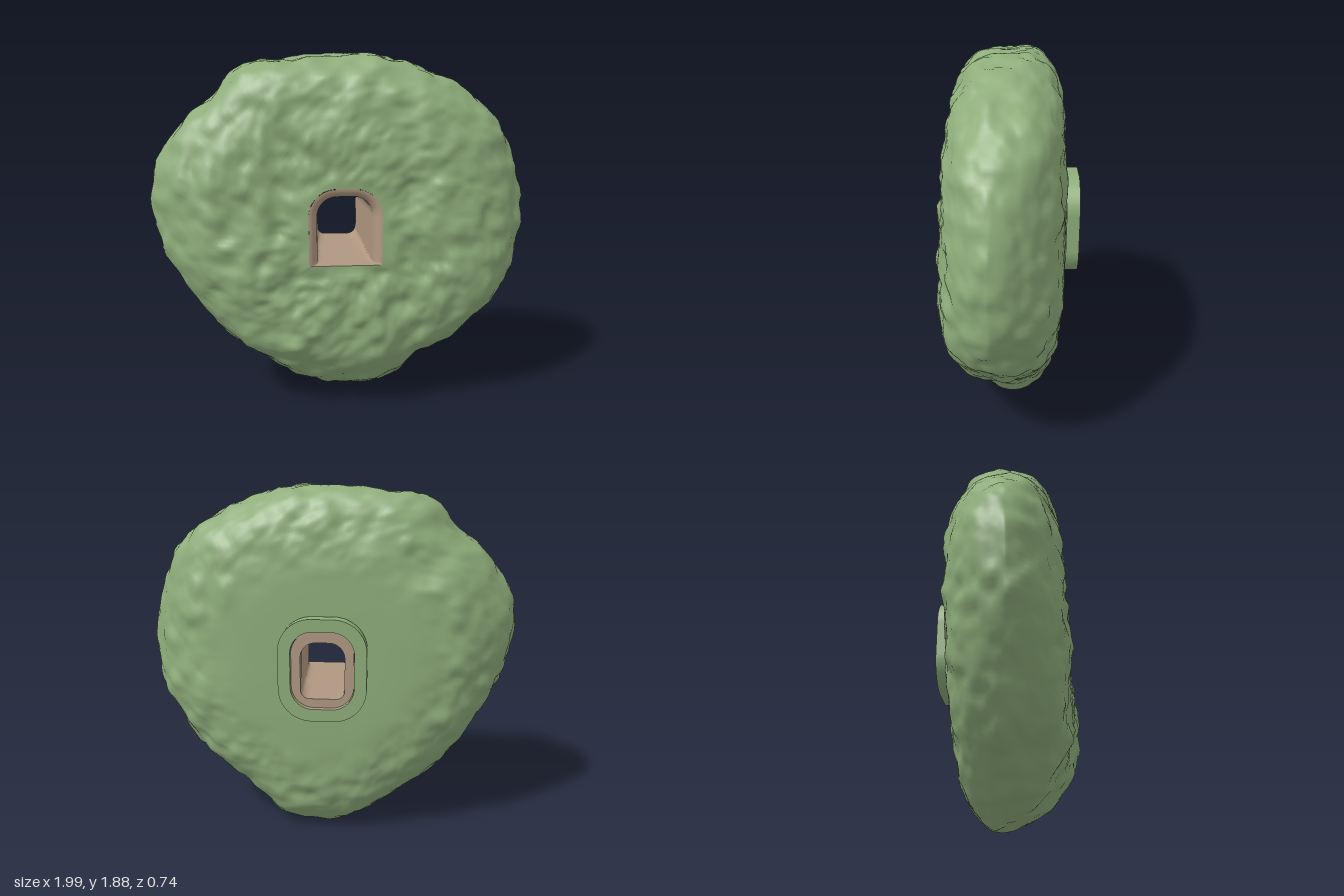
import * as THREE from 'three';

const SEG = 220, CX = 0.005, CY = 1.0;

// Rim radius every 15 degrees, counter-clockwise from +x
const RIM = [0.99, 0.985, 0.99, 0.97, 0.925, 0.895, 0.88, 0.9, 0.965, 0.955, 0.99, 1.02,
  0.985, 0.92, 0.875, 0.88, 0.87, 0.93, 0.995, 0.975, 0.895, 0.905, 0.935, 0.975];

const smooth = (a, b, v) => {
  const k = Math.min(1, Math.max(0, (v - a) / (b - a)));
  return k * k * (3 - 2 * k);
};

function rimRadius(angle) {
  const u = angle / (Math.PI * 2) * 24, i = Math.floor(u), f = u - i;
  const [a, b, c, d] = [-1, 0, 1, 2].map((k) => RIM[(i + k + 24) % 24]);
  return b + 0.5 * f * (c - a + f * (2 * a - 5 * b + 4 * c - d + f * (3 * (b - c) + d - a)));
}

// Smooth 3D value noise in -1..1
function hash(x, y, z) {
  let h = Math.imul(x, 374761393) ^ Math.imul(y, 668265263) ^ Math.imul(z, 1442695041);
  h = Math.imul(h ^ (h >>> 13), 1274126177);
  h = Math.imul(h ^ (h >>> 15), 2246822519);
  return ((h ^ (h >>> 16)) >>> 0) / 2147483648 - 1;
}
function noise(x, y, z) {
  const ix = Math.floor(x), iy = Math.floor(y), iz = Math.floor(z);
  const [u, v, w] = [x - ix, y - iy, z - iz].map((f) => f * f * (3 - 2 * f));
  let sum = 0;
  for (let k = 0; k < 8; k++) {
    const a = k & 1, b = (k >> 1) & 1, c = k >> 2;
    sum += hash(ix + a, iy + b, iz + c) * (a ? u : 1 - u) * (b ? v : 1 - v) * (c ? w : 1 - w);
  }
  return sum;
}
const rough = (x, y, z) => 0.022 * noise(x * 6, y * 6, z * 6)
  + 0.022 * noise(x * 12 + 9, y * 13, z * 12) + 0.007 * noise(x * 27, y * 29 + 5, z * 27);

// Distance from the tunnel axis to an opening's edge; rt and rb round its top and bottom corners
function edgeRadius({ w, top, bottom, rt, rb }, angle) {
  const c = Math.cos(angle), s = Math.sin(angle);
  let lo = 0, hi = 0.6;
  for (let k = 0; k < 28; k++) {
    const m = (lo + hi) / 2, x = Math.abs(m * c), y = CY + m * s;
    const r = s > 0 ? rt : rb;
    const dx = x - (w - r), dy = s > 0 ? y - (top - r) : bottom + r - y;
    const inside = x <= w && y <= top && y >= bottom && !(dx > 0 && dy > 0 && Math.hypot(dx, dy) > r);
    if (inside) lo = m; else hi = m;
  }
  return lo;
}

const angles = Array.from({ length: SEG }, (_, j) => j / SEG * Math.PI * 2);
const frontZ = (y) => 0.318 - 0.045 * (y - 1);

// Skin a list of closed rings
function loft(rings) {
  const index = [];
  for (let i = 0; i < rings.length - 1; i++) {
    for (let j = 0; j < SEG; j++) {
      const k = (j + 1) % SEG, a = i * SEG, b = a + SEG;
      index.push(a + j, b + j, a + k, a + k, b + j, b + k);
    }
  }
  const g = new THREE.BufferGeometry();
  g.setAttribute('position', new THREE.Float32BufferAttribute(rings.flat(2), 3));
  g.setIndex(index);
  g.computeVertexNormals();
  return g;
}

const openingRing = (shape, z) => angles.map((a) => {
  const r = edgeRadius(shape, a), y = CY + r * Math.sin(a);
  return [CX + r * Math.cos(a), y, typeof z === 'function' ? z(y) : z];
});

const FRONT = { w: 0.188, top: 1.222, bottom: 0.83, rt: 0.14, rb: 0.004 };
const THROAT = { w: 0.142, top: 1.175, bottom: 0.83, rt: 0.1, rb: 0.004 };
const MIDDLE = { w: 0.13, top: 1.155, bottom: 0.83, rt: 0.09, rb: 0.02 };
const BACK = { w: 0.113, top: 1.127, bottom: 0.832, rt: 0.08, rb: 0.045 };
const NECK = { w: 0.17, top: 1.2, bottom: 0.78, rt: 0.1, rb: 0.1 };
const COLLAR_IN = { w: 0.16, top: 1.185, bottom: 0.785, rt: 0.115, rb: 0.115 };

// Lumpy shell: front opening to rim, then rim to back opening
function bodyGeometry() {
  const N = 52, rings = [];
  for (let i = 0; i <= 2 * N; i++) {
    const front = i <= N;
    const q = Math.sin((front ? i : 2 * N - i) / N * Math.PI / 2);
    rings.push(angles.map((a) => {
      const c = Math.cos(a), s = Math.sin(a), R = rimRadius(a);
      const r0 = edgeRadius(front ? FRONT : NECK, a);
      const r = r0 + (R - r0) * q, t = r / R;
      // The shell is blunt along the top and lower flanks, bevelled at the sides, tapered at the foot
      const up = Math.max(0, s) ** 1.5;
      const foot = Math.exp(-(((a - Math.PI * 1.5) / 0.42) ** 2));
      const flank = Math.max(0, -s) * (1 - foot);
      const power = front ? 6 + 2 * up + 2.5 * flank - 1.8 * foot : 4.5 + up + flank;
      const round = front ? 1.45 + 1.05 * up + 0.7 * flank - 0.1 * foot : 1.45 + 1.1 * up + 0.5 * flank;
      const rimZ = 0.07 * c * c - (s > 0 ? 0.045 : 0.075) * s * s;
      const x = CX * (1 - q) + r * c, y = CY + r * s;
      const flat = front ? frontZ(y) : -0.295;
      const z = rimZ + (flat - rimZ) * Math.max(0, 1 - t ** power) ** (1 / round);
      const fade = front ? smooth(0, 0.12, q) : smooth(0.45, 0.82, t);
      const d = rough(x, y, z) * fade, side = t ** 6;
      const out = d * side * 0.75, push = d * (1 - side) * (front ? 0.95 : -0.95);
      return [x + c * out, Math.max(0, y + s * out), z + push];
    }));
  }
  return loft(rings);
}

function roundedPath(Target, w, bottom, top, r) {
  const p = new Target();
  p.moveTo(-w + r, bottom);
  p.lineTo(w - r, bottom);
  p.absarc(w - r, bottom + r, r, -Math.PI / 2, 0);
  p.lineTo(w, top - r);
  p.absarc(w - r, top - r, r, 0, Math.PI / 2);
  p.lineTo(-w + r, top);
  p.absarc(-w + r, top - r, r, Math.PI / 2, Math.PI);
  p.lineTo(-w, bottom + r);
  p.absarc(-w + r, bottom + r, r, Math.PI, Math.PI * 1.5);
  return p;
}

function frame(w, bottom, top, r, z0, z1) {
  const s = roundedPath(THREE.Shape, w, bottom, top, r);
  s.holes.push(roundedPath(THREE.Path, 0.162, 0.783, 1.187, 0.115));
  return new THREE.ExtrudeGeometry(s, { depth: z1 - z0, bevelEnabled: false, curveSegments: 16 })
    .translate(CX, 0, z0);
}

export function createModel() {
  const group = new THREE.Group();
  const green = new THREE.MeshStandardMaterial({ color: 0x8fad7b });
  green.name = 'leaf green';
  const tan = new THREE.MeshStandardMaterial({ color: 0xb09881 });
  tan.name = 'dusty tan';
  const add = (name, geometry, material) => {
    const mesh = new THREE.Mesh(geometry, material);
    mesh.name = name;
    group.add(mesh);
  };

  add('body', bodyGeometry(), green);

  // Collar on the back with a narrow neck behind it
  add('backCollar', frame(0.225, 0.718, 1.252, 0.17, -0.375, -0.307), green);
  add('collarNeck', frame(0.19, 0.755, 1.215, 0.14, -0.31, -0.28), green);

  // Tunnel narrowing from front to back, with a flat floor
  add('tunnel', loft([
    openingRing(BACK, -0.35), openingRing(BACK, -0.3), openingRing(MIDDLE, -0.05), openingRing(THROAT, 0.25),
  ]), tan);

  // Rounded lip at the front opening
  const lip = [];
  for (let i = 0; i <= 8; i++) {
    const a = i / 8 * Math.PI / 2, k = 1 - Math.cos(a);
    const mix = {};
    for (const key in FRONT) mix[key] = THROAT[key] + (FRONT[key] - THROAT[key]) * k;
    lip.push(openingRing(mix, (y) => 0.25 + (frontZ(y) + 0.005 - 0.25) * Math.sin(a)));
  }
  add('frontLip', loft(lip), tan);

  // Tan lining and recessed face inside the collar
  add('collarLining', loft([openingRing(COLLAR_IN, -0.374), openingRing(COLLAR_IN, -0.35)]), tan);
  add('collarFace', loft([openingRing(COLLAR_IN, -0.35), openingRing(BACK, -0.35)]), tan);
  return group;
}
